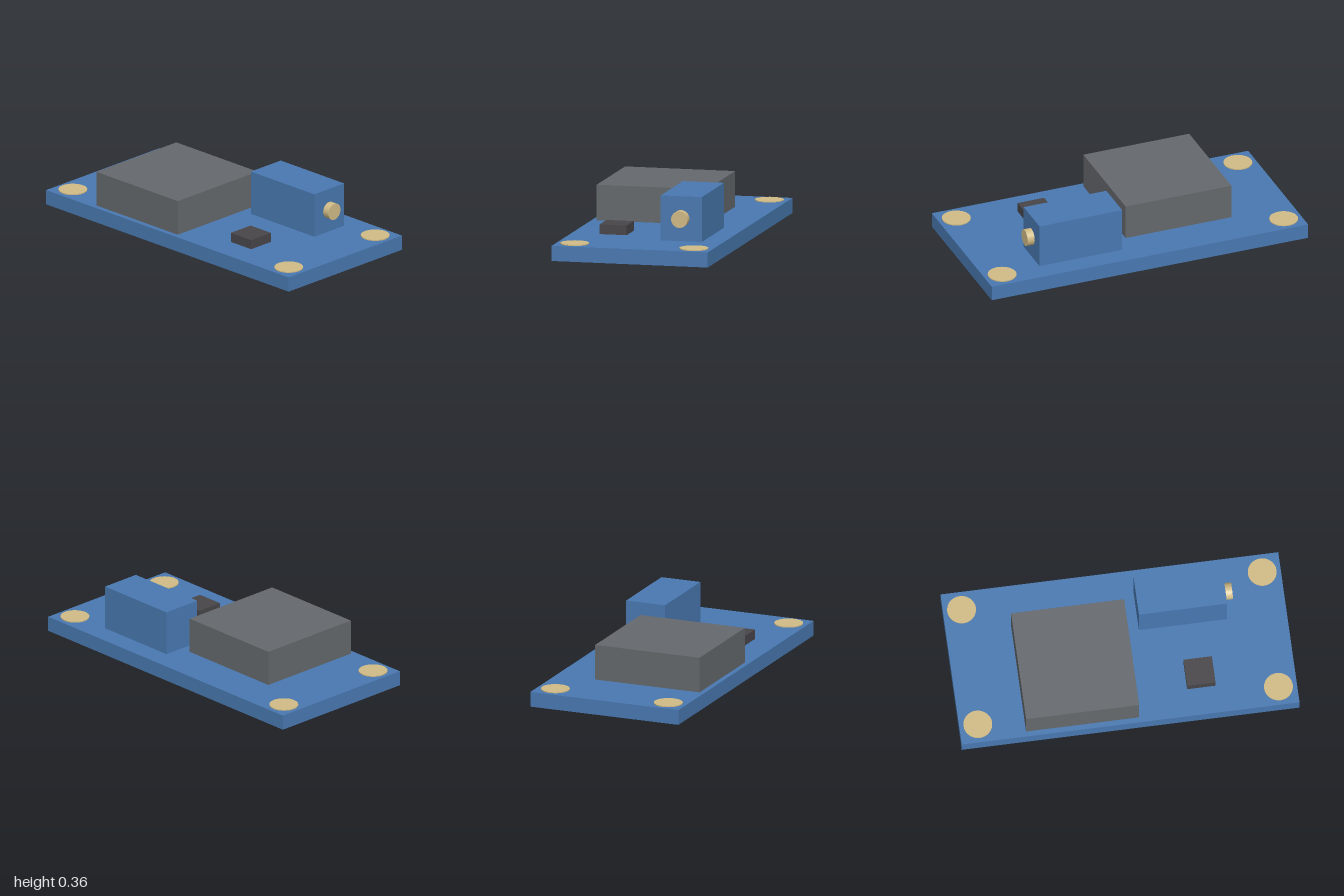
import * as THREE from 'three';

export function createModel() {
  const model = new THREE.Group();
  model.name = 'circuitModule';

  const material = (name, color) => {
    const m = new THREE.MeshStandardMaterial({ color });
    m.name = name;
    return m;
  };
  const blue = material('blue', 0x4878b0);
  const grey = material('grey', 0x64686c);
  const dark = material('charcoal', 0x474548);
  const gold = material('paleGold', 0xd0bb86);

  const add = (name, geometry, mat, x, y, z) => {
    const mesh = new THREE.Mesh(geometry, mat);
    mesh.name = name;
    mesh.position.set(x, y, z);
    model.add(mesh);
    return mesh;
  };

  // Box given by its extents on each axis
  const block = (name, mat, [x0, x1], [y0, y1], [z0, z1]) =>
    add(name, new THREE.BoxGeometry(x1 - x0, y1 - y0, z1 - z0), mat,
      (x0 + x1) / 2, (y0 + y1) / 2, (z0 + z1) / 2);

  const top = 0.09;
  block('board', blue, [-1, 1], [0, top], [-0.473, 0.473]);
  block('mainHousing', grey, [-0.615, 0.055], [top, 0.302], [-0.225, 0.442]);
  block('connectorBlock', blue, [0.125, 0.648], [top, 0.357], [-0.347, -0.098]);
  block('chip', dark, [0.357, 0.525], [top, 0.147], [0.14, 0.305]);

  // Round terminal on the connector's outer end
  add('terminal', new THREE.CylinderGeometry(0.05, 0.05, 0.044, 32), gold, 0.67, 0.225, -0.222)
    .rotation.z = -Math.PI / 2;

  // Corner mounting pads
  for (const x of [-0.89, 0.89]) {
    for (const z of [-0.361, 0.361]) {
      add('mountingPad', new THREE.CylinderGeometry(0.085, 0.085, 0.006, 32), gold, x, top + 0.003, z);
    }
  }

  return model;
}
